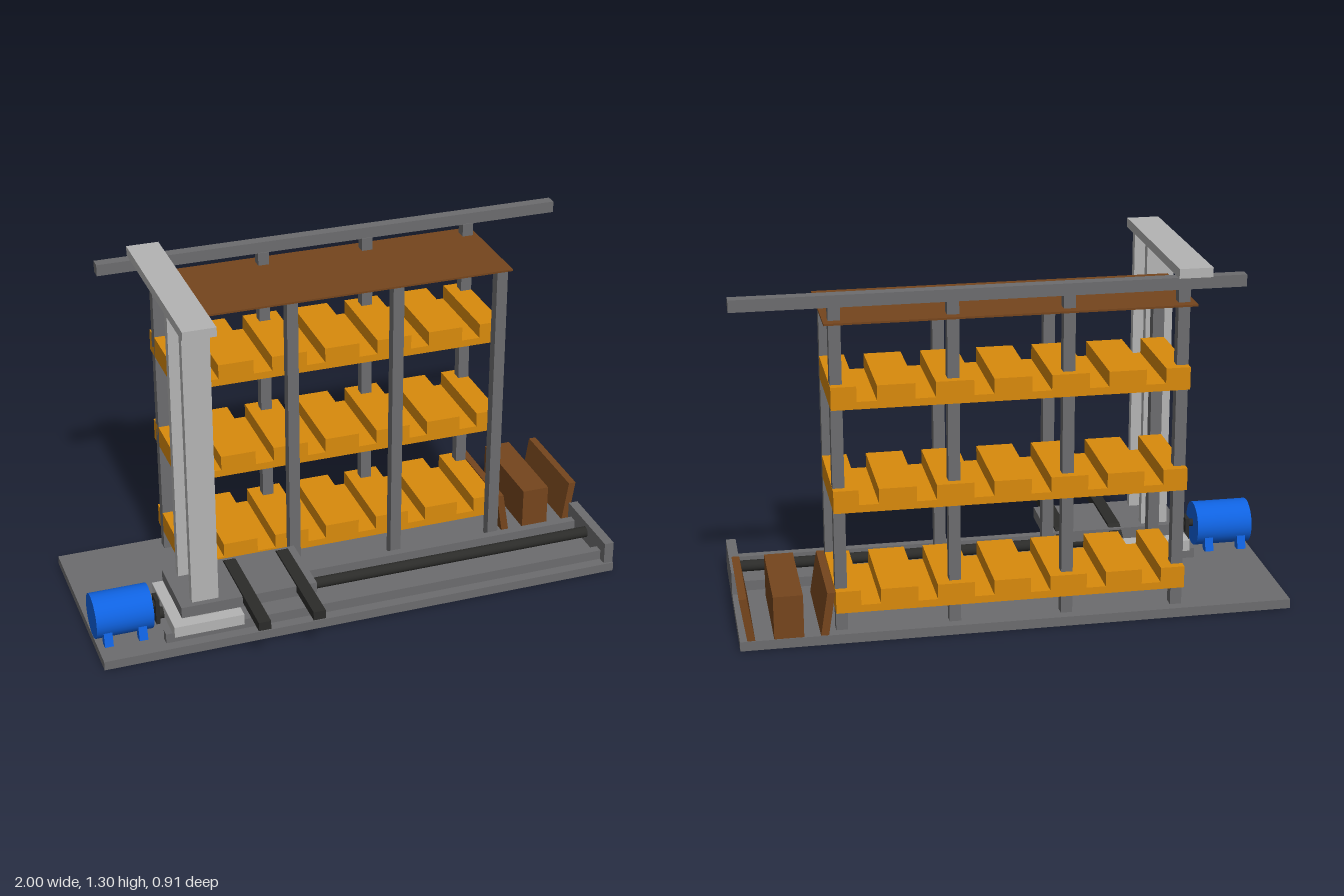
import * as THREE from 'three';

const mat = (color) => new THREE.MeshStandardMaterial({ color });

export function createModel() {
  const root = new THREE.Group();
  const steel = mat(0x6c6c6e), light = mat(0xb4b4b4), black = mat(0x2b2b29);
  const orange = mat(0xd98a0c), brown = mat(0x75451d), blue = mat(0x0f62e0);

  const add = (name, geometry, material, parent = root) => {
    const mesh = new THREE.Mesh(geometry, material);
    mesh.name = name;
    parent.add(mesh);
    return mesh;
  };
  // Box from its limits on each axis
  const box = (name, [x0, x1], [y0, y1], [z0, z1], material, parent) => {
    const mesh = add(name, new THREE.BoxGeometry(x1 - x0, y1 - y0, z1 - z0), material, parent);
    mesh.position.set((x0 + x1) / 2, (y0 + y1) / 2, (z0 + z1) / 2);
    return mesh;
  };
  // Cylinder lying along x
  const rod = (name, radius, [x0, x1], y, z, material, parent) => {
    const mesh = add(name, new THREE.CylinderGeometry(radius, radius, x1 - x0, 32), material, parent);
    mesh.rotation.z = Math.PI / 2;
    mesh.position.set((x0 + x1) / 2, y, z);
    return mesh;
  };
  // Outline in x,y swept along z
  const sweep = (name, points, [z0, z1], material, parent) => {
    const shape = new THREE.Shape(points.map(([x, y]) => new THREE.Vector2(x, y)));
    const mesh = add(name, new THREE.ExtrudeGeometry(shape, { depth: z1 - z0, bevelEnabled: false }), material, parent);
    mesh.position.z = z0;
    return mesh;
  };
  const group = (name) => {
    const g = new THREE.Group();
    g.name = name;
    root.add(g);
    return g;
  };

  // Ground plate and travel track
  const track = group('track');
  box('basePlate', [-1, 1], [0, 0.035], [-0.453, 0.295], steel, track);
  box('endStop', [0.963, 1], [0.035, 0.12], [-0.04, 0.288], steel, track);
  for (const z of [0.005, 0.238]) box('travelRail', [-0.76, 0.963], [0.035, 0.073], [z - 0.016, z + 0.016], steel, track);
  rod('travelScrew', 0.021, [-0.755, 0.963], 0.079, 0.118, black, track);

  // Drive motor
  const motor = group('motor');
  rod('motorBody', 0.084, [-1, -0.787], 0.122, 0.12, blue, motor);
  rod('motorShaft', 0.014, [-0.787, -0.75], 0.125, 0.12, black, motor);
  box('driveLink', [-0.767, -0.752], [0.05, 0.152], [0.092, 0.146], black, motor);
  for (const x of [-0.96, -0.832]) for (const s of [-1, 1]) {
    const foot = box('motorFoot', [x - 0.016, x + 0.016], [0.033, 0.085], [0.12 + s * 0.07 - 0.018, 0.12 + s * 0.07 + 0.018], blue, motor);
    foot.rotation.x = -s * 0.25;
  }

  // Travelling mast
  const mast = group('mast');
  box('mastCarriage', [-0.735, -0.473], [0.073, 0.115], [-0.032, 0.284], light, mast);
  for (const z of [0.036, 0.221]) box('mastColumn', [-0.655, -0.555], [0.115, 1.265], [z - 0.016, z + 0.016], light, mast);
  box('mastHead', [-0.672, -0.552], [1.263, 1.297], [-0.433, 0.317], light, mast);
  const screw = add('liftScrew', new THREE.CylinderGeometry(0.023, 0.023, 1.15, 32), black, mast);
  screw.position.set(-0.605, 0.69, 0.128);

  // Lifting platform and forks with tapered tips
  const lift = group('lift');
  box('liftPlatform', [-0.7, -0.188], [0.134, 0.177], [-0.01, 0.26], steel, lift);
  for (const x of [-0.448, -0.243]) {
    const fork = sweep('fork', [[-0.455, 0.152], [0.042, 0.152], [-0.018, 0.186], [-0.455, 0.186]], [-0.023, 0.023], black, lift);
    fork.rotation.y = Math.PI / 2;
    fork.position.set(x - 0.023, 0, 0);
  }

  // Rack posts, roof and overhead rail
  const rack = group('rack');
  for (let i = 0; i < 4; i++) {
    const x = 0.03 + (i - 1.5) * 0.405;
    box('frontPost', [x - 0.021, x + 0.021], [0.035, 1.168], [-0.079, -0.038], steel, rack);
    box('rearPost', [x - 0.021, x + 0.021], [0.035, 1.222], [-0.415, -0.375], steel, rack);
  }
  box('roof', [-0.617, 0.677], [1.166, 1.173], [-0.45, -0.036], brown, rack);
  box('overheadRail', [-0.797, 0.99], [1.22, 1.263], [-0.421, -0.379], steel, rack);

  // Shelves: one notched profile repeated on three levels
  const left = -0.5985, right = 0.6595, base = 0.027, top = 0.082;
  const profile = [[left, 0], [right, 0], [right, top]];
  for (let i = 5; i >= 0; i--) {
    const x = 0.03 + (i - 2.5) * 0.2025;
    profile.push([x + 0.035, top], [x + 0.035, base], [x - 0.035, base], [x - 0.035, top]);
  }
  profile.push([left, top]);
  for (const y of [0.112, 0.488, 0.864]) sweep('shelf', profile, [-0.445, -0.079], orange, rack).position.y = y;

  // Stored panels leaning either side of a crate
  const store = group('store');
  const depth = [-0.45, -0.062];
  sweep('leftPanel', [[0.688, 0.035], [0.716, 0.035], [0.69, 0.195], [0.662, 0.195]], depth, brown, store);
  box('crate', [0.775, 0.88], [0.035, 0.195], depth, brown, store);
  sweep('rightPanel', [[0.946, 0.035], [0.974, 0.035], [0.998, 0.195], [0.97, 0.195]], depth, brown, store);

  return root;
}
